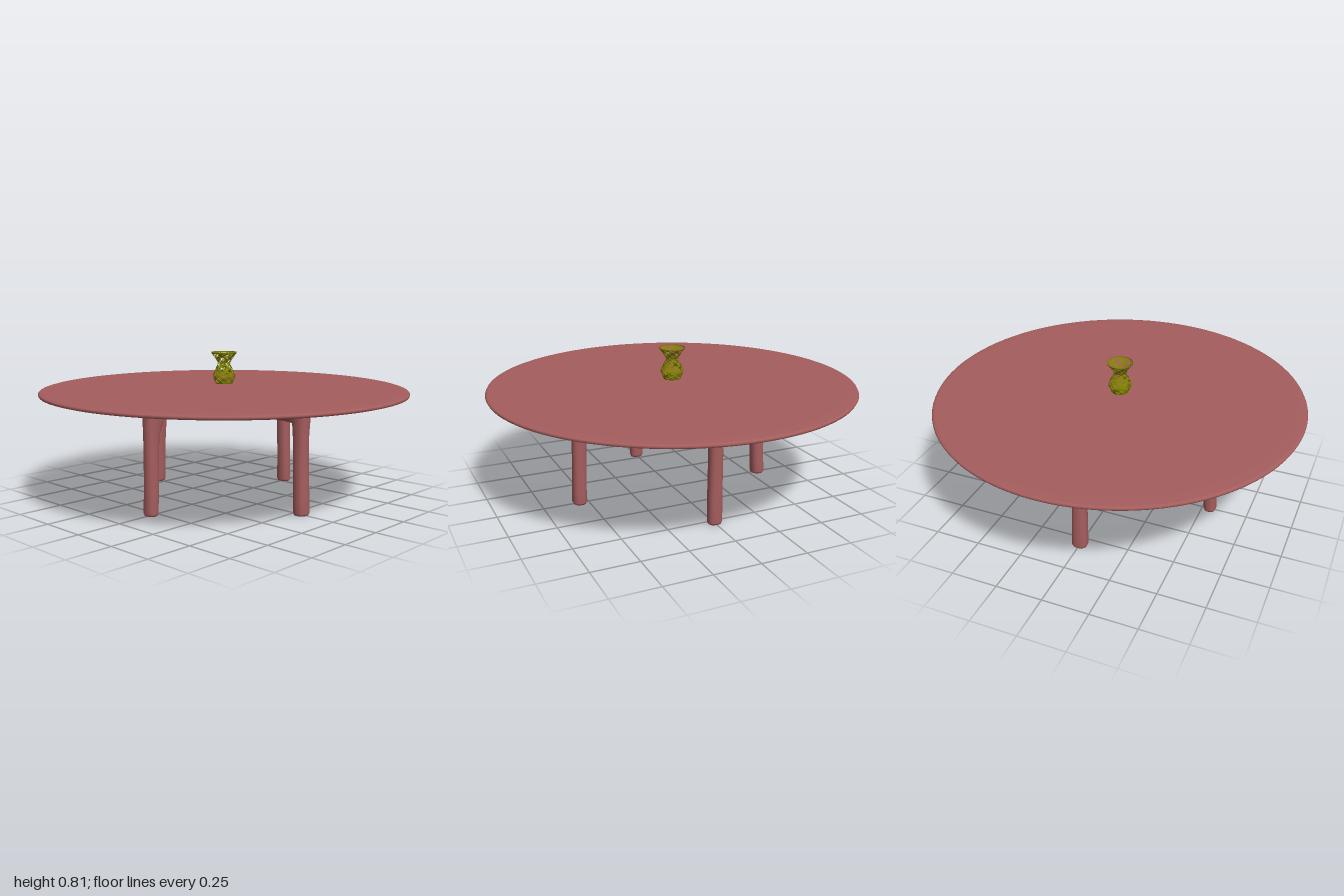
import * as THREE from 'three';

const wood = new THREE.MeshStandardMaterial({ color: 0xa55d5d });
const olive = new THREE.MeshStandardMaterial({ color: 0x808000, side: THREE.DoubleSide });

// Capped loft: each section is { c: centre, u, v: half-axis vectors }, u x v pointing along the path
function loft(sections, power = 0.85, sides = 24) {
  const pos = [], index = [];
  const bend = (t) => Math.sign(t) * Math.abs(t) ** power;
  for (const { c, u, v } of sections) {
    for (let j = 0; j < sides; j++) {
      const a = (j / sides) * Math.PI * 2;
      const p = c.clone().addScaledVector(u, bend(Math.cos(a))).addScaledVector(v, bend(Math.sin(a)));
      pos.push(p.x, p.y, p.z);
    }
  }
  const last = sections.length - 1;
  for (let i = 0; i < last; i++) {
    for (let j = 0; j < sides; j++) {
      const a = i * sides + j, b = i * sides + (j + 1) % sides;
      index.push(a, b, a + sides, b, b + sides, a + sides);
    }
  }
  pos.push(...sections[0].c.toArray(), ...sections[last].c.toArray());
  const n = sections.length * sides;
  for (let j = 0; j < sides; j++) {
    const k = (j + 1) % sides;
    index.push(n, k, j, n + 1, last * sides + j, last * sides + k);
  }
  const g = new THREE.BufferGeometry();
  g.setAttribute('position', new THREE.Float32BufferAttribute(pos, 3));
  g.setIndex(index);
  g.computeVertexNormals();
  return g;
}

function add(group, name, geometry, material = wood) {
  const mesh = new THREE.Mesh(geometry, material);
  mesh.name = name;
  group.add(mesh);
}

const V = (x, y, z) => new THREE.Vector3(x, y, z);

// Upright leg from rows of [y, x, z, half width x, half width z]
const leg = (rows) => loft(rows.map(([y, x, z, rx, rz]) => ({ c: V(x, y, z), u: V(0, 0, rz), v: V(rx, 0, 0) })));

// Bracket running inwards (+x or -x) from rows of [x, bottom y, top y, half width z]
const bracket = (rows) => {
  const s = Math.sign(rows[1][0] - rows[0][0]);
  return loft(rows.map(([x, y0, y1, w]) => ({
    c: V(x, (y0 + y1) / 2, 0), u: V(0, (y1 - y0) / 2, 0), v: V(0, 0, s * w),
  })), 0.8);
};

// Openwork vase: a lathed surface with irregular gaps between a solid rim and base
function vaseGeometry() {
  const curve = new THREE.SplineCurve([
    [0.046, 0.637], [0.054, 0.655], [0.062, 0.68], [0.05, 0.71], [0.035, 0.742],
    [0.037, 0.757], [0.053, 0.782], [0.068, 0.802], [0.069, 0.809],
  ].map(([x, y]) => new THREE.Vector2(x, y)));
  const rows = 36, cols = 64;
  const g = new THREE.LatheGeometry(curve.getPoints(rows), cols);
  const p = g.attributes.position, src = g.index.array, kept = [];
  for (let i = 0; i < src.length; i += 3) {
    let x = 0, y = 0, z = 0;
    for (let k = 0; k < 3; k++) {
      x += p.getX(src[i + k]) / 3;
      y += p.getY(src[i + k]) / 3;
      z += p.getZ(src[i + k]) / 3;
    }
    const a = Math.atan2(z, x);
    const noise = Math.sin(5 * a + 130 * y) + Math.sin(9 * a - 210 * y + 1) + 0.8 * Math.sin(14 * a + 390 * y + 2)
      + 0.6 * Math.sin(23 * a - 520 * y);
    if (noise > -0.35 || y > 0.8 || y < 0.642) kept.push(src[i], src[i + 1], src[i + 2]);
  }
  g.setIndex(kept);
  return g;
}

export function createModel() {
  const model = new THREE.Group();
  model.name = 'roundTable';

  // Thin round top, slightly thicker towards the middle underneath
  const profile = [
    [0, 0.572], [0.35, 0.575], [0.6, 0.58], [0.9, 0.587], [0.98, 0.59], [0.994, 0.594], [0.998, 0.602],
    [0.994, 0.609], [0.98, 0.613], [0.9, 0.614], [0, 0.615],
  ].map(([x, y]) => new THREE.Vector2(x, y));
  add(model, 'tableTop', new THREE.LatheGeometry(profile, 96));

  // Four slightly uneven legs
  add(model, 'rightLeg', leg([
    [0, -0.553, 0, 0.034, 0.038], [0.012, -0.553, 0, 0.039, 0.043], [0.08, -0.55, 0, 0.038, 0.042],
    [0.25, -0.543, 0, 0.038, 0.039], [0.33, -0.537, 0, 0.04, 0.038], [0.44, -0.534, 0, 0.042, 0.039],
    [0.5, -0.535, 0, 0.046, 0.045], [0.56, -0.537, 0, 0.046, 0.047], [0.585, -0.537, 0, 0.042, 0.044],
  ]));
  add(model, 'leftLeg', leg([
    [0, 0.55, 0, 0.034, 0.038], [0.012, 0.55, 0, 0.039, 0.043], [0.08, 0.549, 0, 0.038, 0.042],
    [0.25, 0.543, 0, 0.038, 0.039], [0.4, 0.54, 0, 0.04, 0.038],
    [0.5, 0.54, 0, 0.045, 0.045], [0.56, 0.54, 0, 0.046, 0.047], [0.585, 0.54, 0, 0.042, 0.044],
  ]));
  add(model, 'frontLeg', leg([
    [0, 0, 0.543, 0.034, 0.029], [0.012, 0, 0.543, 0.039, 0.034], [0.15, 0, 0.537, 0.038, 0.036],
    [0.35, -0.002, 0.533, 0.036, 0.038], [0.42, -0.003, 0.53, 0.038, 0.042], [0.47, -0.003, 0.52, 0.041, 0.053],
    [0.51, -0.002, 0.512, 0.043, 0.061], [0.55, -0.002, 0.515, 0.044, 0.06], [0.585, -0.002, 0.52, 0.041, 0.05],
  ]));
  add(model, 'backLeg', leg([
    [0, 0, -0.526, 0.034, 0.029], [0.012, 0, -0.526, 0.039, 0.034], [0.15, 0, -0.524, 0.038, 0.035],
    [0.35, -0.002, -0.522, 0.036, 0.037], [0.45, -0.003, -0.52, 0.038, 0.038],
    [0.55, -0.002, -0.52, 0.044, 0.043], [0.585, -0.002, -0.52, 0.041, 0.04],
  ]));

  // Brackets under the top, reaching inwards from the side legs
  add(model, 'rightBracket', bracket([
    [-0.545, 0.45, 0.575, 0.036], [-0.5, 0.462, 0.577, 0.042], [-0.44, 0.472, 0.577, 0.05],
    [-0.35, 0.47, 0.58, 0.056], [-0.3, 0.482, 0.582, 0.057], [-0.25, 0.512, 0.584, 0.052],
    [-0.21, 0.545, 0.586, 0.042], [-0.165, 0.568, 0.587, 0.025],
  ]));
  add(model, 'leftBracket', bracket([
    [0.545, 0.45, 0.575, 0.036], [0.5, 0.472, 0.575, 0.042], [0.44, 0.477, 0.572, 0.046],
    [0.36, 0.479, 0.572, 0.05], [0.31, 0.49, 0.574, 0.05], [0.28, 0.507, 0.576, 0.043],
    [0.262, 0.53, 0.576, 0.026],
  ]));

  // Vase standing at the centre
  const vase = new THREE.Group();
  vase.name = 'vase';
  add(vase, 'vaseBody', vaseGeometry(), olive);
  const base = new THREE.CircleGeometry(0.046, 40).rotateX(-Math.PI / 2).translate(0, 0.637, 0);
  add(vase, 'vaseBase', base, olive);
  model.add(vase);
  return model;
}
